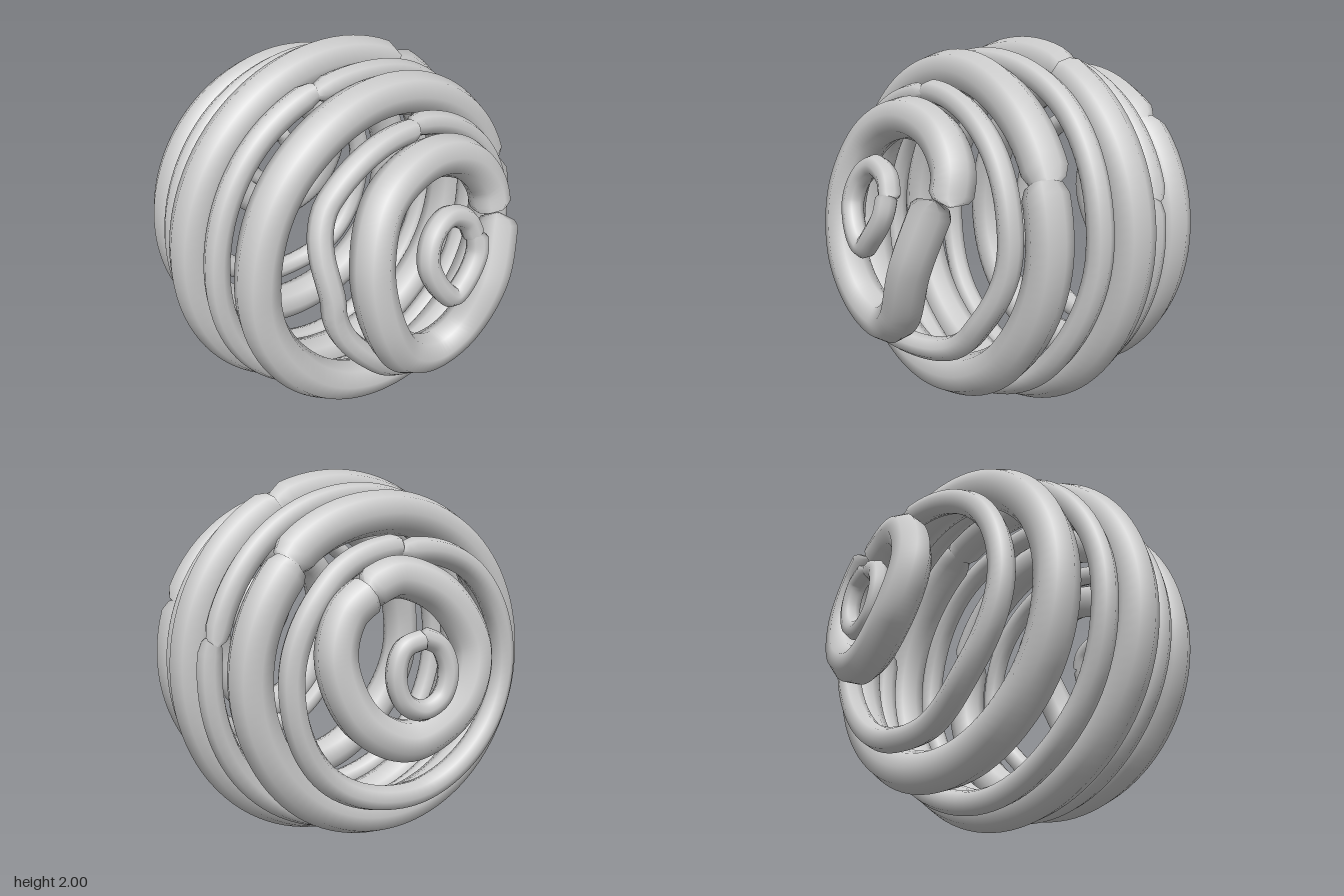
import * as THREE from 'three';

const SIDES = 8;
const R = 0.89; // every strand's centre line lies on a ball of this radius

// A strand along the given points, with its ends tapered shut
function strand(name, points, radius) {
  const steps = 100;
  const curve = new THREE.CatmullRomCurve3(points, false, 'centripetal');
  const geo = new THREE.TubeGeometry(curve, steps, radius, SIDES, false);
  const pos = geo.attributes.position;
  const v = new THREE.Vector3();
  const taper = (row, scale) => {
    const c = curve.getPointAt(row / steps);
    for (let j = 0; j <= SIDES; j++) {
      const k = row * (SIDES + 1) + j;
      v.fromBufferAttribute(pos, k).sub(c).multiplyScalar(scale).add(c);
      pos.setXYZ(k, v.x, v.y, v.z);
    }
  };
  [[0, 0], [1, 0.8], [steps - 1, 0.8], [steps, 0]].forEach(([row, s]) => taper(row, s));
  const mesh = new THREE.Mesh(geo, new THREE.MeshStandardMaterial({ color: 0xcccccc }));
  mesh.name = name;
  return mesh;
}

// A loop round the x axis; xs holds x at eight angles: top, front, bottom, back.
// It starts and ends at the seam angle, with the ends slightly overlapping.
function band(name, radius, seam, drift, xs) {
  const pts = [];
  const n = 40;
  for (let i = 0; i <= n; i++) {
    const t = i / n;
    const deg = (seam + t * 366) % 360;
    const k = Math.floor(deg / 45);
    const f = THREE.MathUtils.smoothstep(deg / 45 - k, 0, 1);
    const x = THREE.MathUtils.lerp(xs[k], xs[(k + 1) % 8], f) + drift * (t - 0.5);
    const r = Math.sqrt(R * R - x * x);
    const a = THREE.MathUtils.degToRad(deg);
    pts.push(new THREE.Vector3(x, 1 + r * Math.cos(a), r * Math.sin(a)));
  }
  return strand(name, pts, radius);
}

// A coil on one end of the ball, from [z, height above centre] points;
// the distance from the centre grows from r0 to r1 so the ends overlap.
function coil(name, radius, side, r0, r1, path) {
  const pts = path.map(([z, y], i) => {
    const r = THREE.MathUtils.lerp(r0, r1, i / (path.length - 1));
    return new THREE.Vector3(side * Math.sqrt(r * r - y * y - z * z), 1 + y, z);
  });
  return strand(name, pts, radius);
}

export function createModel() {
  const model = new THREE.Group();
  model.name = 'woundBall';

  // Thick bands
  model.add(
    band('middleBand', 0.11, 330, 0.01, [-0.03, -0.03, -0.02, -0.01, 0, -0.01, -0.02, -0.02]),
    band('rightThickBand', 0.11, 310, -0.02, [-0.46, -0.47, -0.46, -0.45, -0.44, -0.43, -0.42, -0.43]),
    band('leftThickBand', 0.11, 288, 0.02, [0.39, 0.4, 0.42, 0.45, 0.45, 0.43, 0.41, 0.4])
  );

  // Thin wavering bands
  model.add(
    band('rightInnerThinBand', 0.065, 278, 0.03, [-0.23, -0.25, -0.23, -0.2, -0.17, -0.18, -0.2, -0.21]),
    band('leftInnerThinBand', 0.065, 15, 0.02, [0.2, 0.18, 0.2, 0.2, 0.25, 0.22, 0.18, 0.16]),
    band('rightOuterThinBand', 0.065, 348, 0.02, [-0.66, -0.65, -0.65, -0.66, -0.62, -0.59, -0.6, -0.62]),
    band('leftOuterThinBand', 0.06, 355, -0.02, [0.56, 0.57, 0.69, 0.73, 0.7, 0.62, 0.57, 0.56])
  );

  // Thick coils near the two ends
  model.add(
    coil('leftThickCoil', 0.105, 1, 0.87, 0.92, [
      [-0.45, 0.17], [-0.43, 0.33], [-0.28, 0.5], [0, 0.57], [0.28, 0.45], [0.4, 0.18],
      [0.35, -0.14], [0.2, -0.36], [0, -0.44], [-0.17, -0.36], [-0.32, -0.1], [-0.43, 0.21]]),
    coil('rightThickCoil', 0.1, -1, 0.87, 0.9, [
      [-0.33, 0.41], [-0.16, 0.47], [0.06, 0.37], [0.19, 0.12], [0.1, -0.13], [-0.16, -0.28],
      [-0.4, -0.17], [-0.51, 0.1], [-0.45, 0.31], [-0.32, 0.42]])
  );

  // Small closing loops at the very ends
  model.add(
    coil('leftEndLoop', 0.055, 1, 0.9, 0.92, [
      [-0.17, 0.19], [-0.12, 0.29], [0, 0.34], [0.11, 0.28], [0.15, 0.16], [0.08, 0.01],
      [0, -0.05], [-0.08, 0.01], [-0.16, 0.12], [-0.17, 0.22]]),
    coil('rightEndLoop', 0.05, -1, 0.89, 0.91, [
      [-0.14, 0.21], [-0.04, 0.16], [0, 0.04], [-0.04, -0.08], [-0.14, -0.13], [-0.24, -0.08],
      [-0.28, 0.04], [-0.24, 0.16], [-0.13, 0.2]])
  );

  return model;
}
